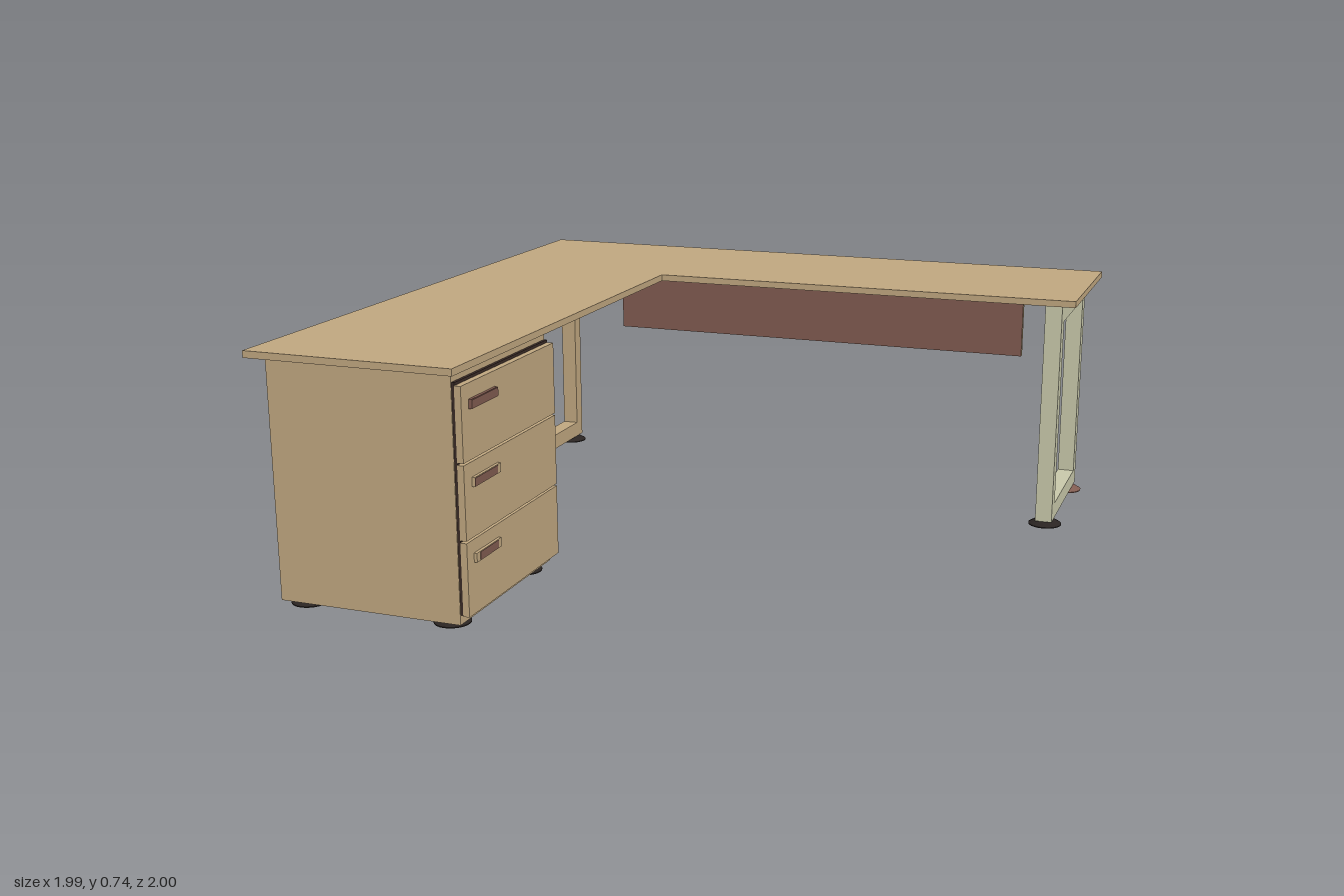
import * as THREE from 'three';

const mat = (name, color) => new THREE.MeshStandardMaterial({ name, color });

export function createModel() {
  const wood = mat('wood', 0xc0a780);
  const brown = mat('brown', 0x805b50);
  const dark = mat('darkGap', 0x3a2b26);
  const black = mat('footBlack', 0x2a2422);
  const pale = mat('paleFrame', 0xc9c9ab);

  const desk = new THREE.Group();
  desk.name = 'cornerDesk';

  const add = (parent, name, geometry, material) => {
    const mesh = new THREE.Mesh(geometry, material);
    mesh.name = name;
    parent.add(mesh);
    return mesh;
  };

  // Box given by its minimum and maximum on each axis
  const box = (parent, name, material, [x0, x1], [y0, y1], [z0, z1]) => {
    const mesh = add(parent, name, new THREE.BoxGeometry(x1 - x0, y1 - y0, z1 - z0), material);
    mesh.position.set((x0 + x1) / 2, (y0 + y1) / 2, (z0 + z1) / 2);
    return mesh;
  };

  // L-shaped top, drawn in x and z, with a brown underside
  const outline = new THREE.Shape([
    [-0.995, -1], [0.99, -1], [0.99, -0.44], [-0.367, -0.44], [-0.367, 1], [-0.995, 1],
  ].map(([x, z]) => new THREE.Vector2(x, z)));
  const topGeometry = new THREE.ExtrudeGeometry(outline, { depth: 0.02, bevelEnabled: false });
  add(desk, 'deskTop', topGeometry.rotateX(Math.PI / 2), wood).position.y = 0.735;
  const underside = new THREE.ShapeGeometry(outline).rotateX(Math.PI / 2);
  add(desk, 'deskTopUnderside', underside, brown).position.y = 0.7138;

  // Back panel: wood behind and at its edges, brown towards the sitter
  box(desk, 'backPanel', [wood, wood, wood, wood, brown, wood],
    [-0.737, 0.737], [0.43, 0.715], [-0.995, -0.975]);

  // Round levelling foot with a hollow in its base
  const footGeometry = new THREE.LatheGeometry([
    [0, 0.006], [0.02, 0.006], [0.024, 0], [0.052, 0], [0.052, 0.003], [0.03, 0.016], [0, 0.018],
  ].map(([r, y]) => new THREE.Vector2(r, y)), 24).toNonIndexed();
  footGeometry.computeVertexNormals();
  const foot = (parent, x, z, material = black) =>
    add(parent, 'foot', footGeometry, material).position.set(x, 0, z);

  // Rectangular leg frames, drawn in z and y
  const rectangle = (Type, z0, z1, y0, y1) => new Type([
    new THREE.Vector2(z0, y0), new THREE.Vector2(z1, y0),
    new THREE.Vector2(z1, y1), new THREE.Vector2(z0, y1),
  ]);
  const frameShape = rectangle(THREE.Shape, -0.935, -0.46, 0.017, 0.7135);
  frameShape.holes.push(rectangle(THREE.Path, -0.89, -0.507, 0.068, 0.658));
  const frameGeometry = new THREE.ExtrudeGeometry(frameShape, { depth: 0.052, bevelEnabled: false });
  frameGeometry.translate(0, 0, -0.026).rotateY(-Math.PI / 2);
  for (const side of [-1, 1]) {
    const legs = new THREE.Group();
    legs.name = side > 0 ? 'leftLegs' : 'rightLegs';
    add(legs, 'legFrame', frameGeometry, side > 0 ? pale : wood).position.x = side * 0.921;
    foot(legs, side * 0.921, -0.495);
    foot(legs, side * 0.921, -0.895, side > 0 ? brown : black);
    desk.add(legs);
  }

  // Drawer cabinet with a dark recess behind its drawer fronts
  const cabinet = new THREE.Group();
  cabinet.name = 'drawerCabinet';
  desk.add(cabinet);
  box(cabinet, 'cabinetBody', wood, [-0.955, -0.395], [0.017, 0.7135], [0.4, 0.957]);
  box(cabinet, 'drawerGap', dark, [-0.395, -0.386], [0.045, 0.687], [0.402, 0.955]);
  for (const x of [-0.9, -0.45]) for (const z of [0.46, 0.9]) foot(cabinet, x, z);

  // Drawers, from the bottom up: front bottom, front top, handle centre, grip face colours
  const drawers = [
    { y0: 0.043, y1: 0.251, hy: 0.2, z0: 0.777, z1: 0.919, body: wood, face: [0.795, 0.9] },
    { y0: 0.257, y1: 0.465, hy: 0.41, z0: 0.765, z1: 0.915, body: wood, face: [0.785, 0.915] },
    { y0: 0.471, y1: 0.679, hy: 0.623, z0: 0.768, z1: 0.917, body: brown, face: [0.768, 0.917] },
  ];
  for (const { y0, y1, hy, z0, z1, body, face } of drawers) {
    const drawer = new THREE.Group();
    drawer.name = 'drawer';
    box(drawer, 'drawerFront', wood, [-0.386, -0.367], [y0, y1], [0.4, 0.957]);
    box(drawer, 'handle', body, [-0.367, -0.358], [hy - 0.013, hy + 0.013], [z0, z1]);
    box(drawer, 'handleFace', brown, [-0.358, -0.3565], [hy - 0.011, hy + 0.011], face);
    cabinet.add(drawer);
  }

  return desk;
}
